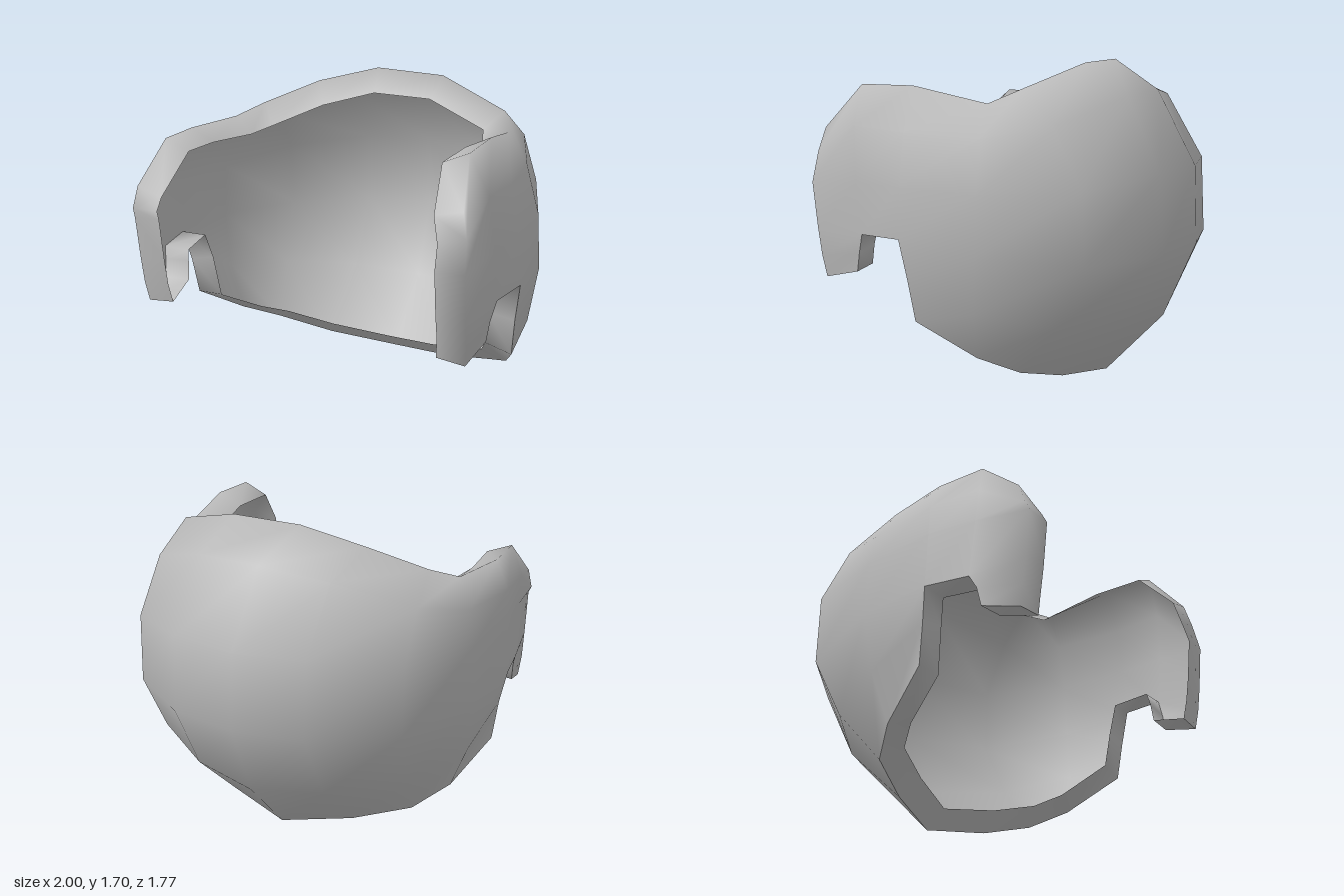
import * as THREE from 'three';

// Upright cross-sections of the shell, bottom to top, from the back centre to the front of a side
const BACK = [[0, 0, -.39], [0, .34, -.71], [0, .75, -.885], [0, 1.16, -.87], [-.03, 1.55, -.65], [-.12, 1.7, -.38]];
const SIDE = [
  [[.38, .06, -.28], [.38, .37, -.62], [.38, .75, -.82], [.38, 1.16, -.8], [.34, 1.54, -.61], [.28, 1.7, -.36]],
  [[.68, .15, -.17], [.75, .42, -.39], [.78, .75, -.55], [.78, 1.12, -.54], [.75, 1.42, -.38], [.7, 1.59, -.19]],
  [[.83, .25, 0], [.93, .5, -.03], [.97, .8, -.06], [.95, 1.1, -.06], [.88, 1.36, -.05], [.77, 1.52, -.04]],
  [[.95, .44, .28], [.97, .65, .31], [1, .86, .34], [.98, 1.12, .34], [.93, 1.38, .34], [.82, 1.6, .34]],
  [[.93, .66, .62], [.94, .76, .6], [.96, .86, .57], [.95, 1.12, .6], [.92, 1.4, .62], [.82, 1.6, .63]],
  [[.9, .61, .82], [.91, .72, .84], [.91, .86, .86], [.91, 1.1, .885], [.9, 1.26, .85], [.87, 1.38, .82]],
];
// The right side is lower along the top: its two upper rows
const RIGHT_TOP = [
  [[.4, 1.5, -.59], [.45, 1.61, -.3]],
  [[.76, 1.36, -.37], [.72, 1.49, -.14]],
  [[.91, 1.28, -.04], [.83, 1.43, 0]],
  [[.97, 1.28, .34], [.9, 1.44, .34]],
  [[.95, 1.28, .62], [.89, 1.45, .6]],
  [[.93, 1.14, .87], [.92, 1.25, .83]],
];
const ROWS = 6;
const LIP = .15;

function makeGeometry(points, triangles) {
  const geometry = new THREE.BufferGeometry();
  geometry.setAttribute('position', new THREE.Float32BufferAttribute(points.flat(), 3));
  geometry.setIndex(triangles.flat());
  geometry.computeVertexNormals();
  return geometry;
}

// Inner edge of the lip: points pushed inwards along the shell's normal, straight across at the sides
function pushInward(points, triangles) {
  const normals = makeGeometry(points, triangles).getAttribute('normal');
  return points.map(([x, y, z], i) => {
    const normal = new THREE.Vector3().fromBufferAttribute(normals, i);
    if (z > .2) normal.setZ(0).normalize();
    return [x - LIP * normal.x, y - LIP * normal.y, z - LIP * normal.z];
  });
}

export function createModel() {
  const group = new THREE.Group();
  group.name = 'hairShell';
  const grey = new THREE.MeshStandardMaterial({ color: 0xbababa, side: THREE.DoubleSide });
  grey.name = 'grey';

  // Columns run from the left front, round the back, to the right front
  const right = SIDE.map((column, i) => [...column.slice(0, 4), ...RIGHT_TOP[i]]
    .map(([x, y, z], j) => [-x, j === 2 && (i === 3 || i === 4) ? .82 : y, z]));
  const columns = [...[...SIDE].reverse(), BACK, ...right];
  const last = columns.length - 1;
  const outer = columns.flat();

  // Grid faces, leaving out the notch behind each front lock
  const quads = [];
  for (let i = 0; i < last; i++) {
    const notch = i === 1 || i === last - 2;
    for (let j = notch ? 2 : 0; j < ROWS - 1; j++) {
      const a = i * ROWS + j, b = a + ROWS;
      quads.push([a, b, b + 1, a + 1]);
    }
  }
  const shell = quads.flatMap(([a, b, c, d]) => [[a, b, c], [a, c, d]]);
  const points = [...outer, ...pushInward(outer, shell)];

  // A lip turns inwards along every open edge: rounded at the top and front, sharp below
  const edges = quads.flatMap(q => q.map((p, k) => [p, q[(k + 1) % 4]]));
  const known = new Set(edges.map(e => e.join()));
  const open = edges.filter(([p, q]) => !known.has([q, p].join()));
  const n = outer.length;
  const lip = list => list.flatMap(([p, q]) => [[q, p, p + n], [q, p + n, q + n]]);
  const isTop = p => p % ROWS === ROWS - 1;
  const isFront = p => p < ROWS || p >= last * ROWS;
  const isRounded = ([p, q]) => (isTop(p) && isTop(q)) || (isFront(p) && isFront(q));

  const addPart = (name, triangles) => {
    const mesh = new THREE.Mesh(makeGeometry(points, triangles), grey);
    mesh.name = name;
    group.add(mesh);
  };
  addPart('hairWithUpperLip', [...shell, ...lip(open.filter(isRounded))]);
  addPart('lowerLip', lip(open.filter(e => !isRounded(e))));
  return group;
}
